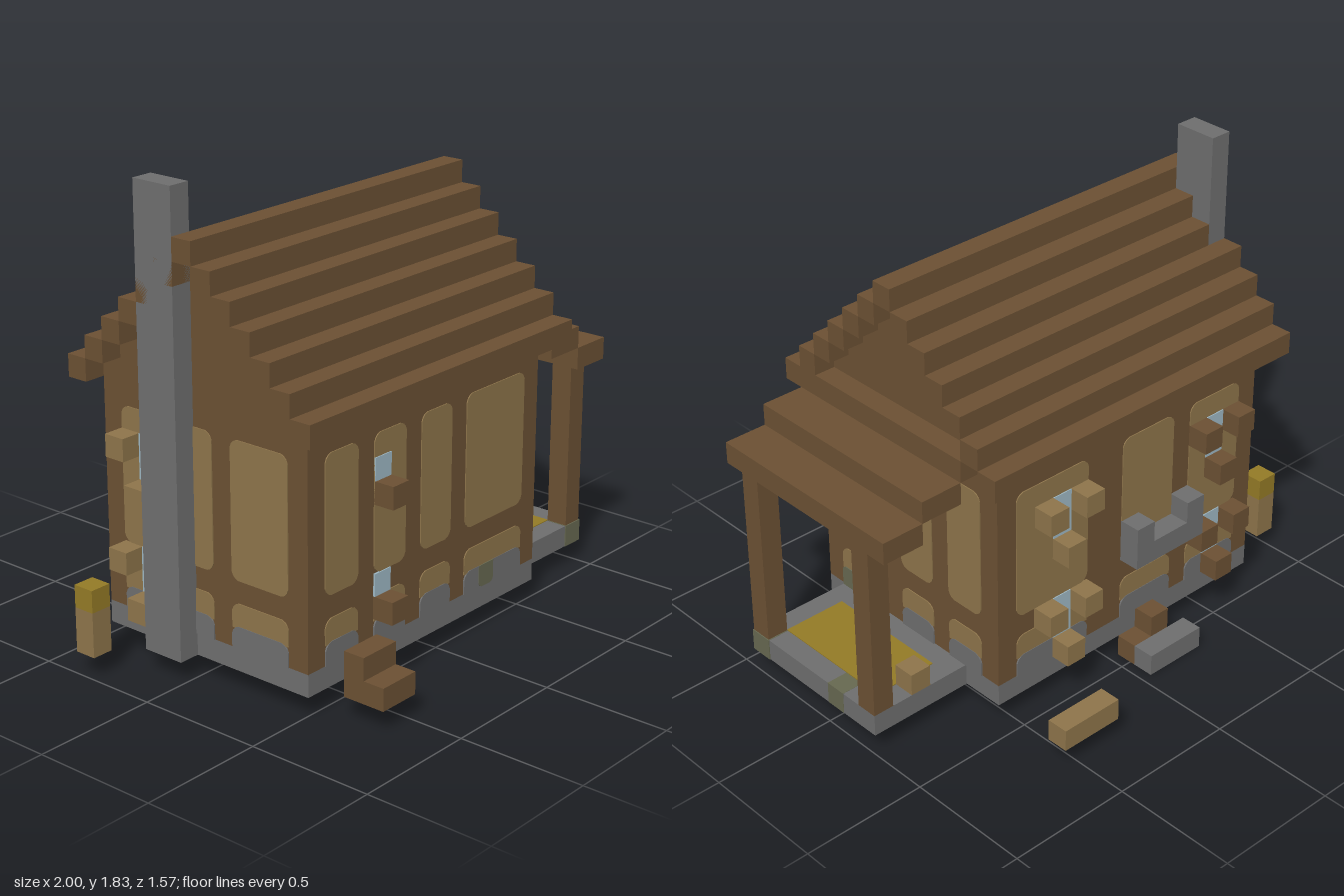
import * as THREE from 'three';

const U = 2 / 23; // one block

export function createModel() {
  const root = new THREE.Group();
  const mat = (name, color) => {
    const m = new THREE.MeshStandardMaterial({ color });
    m.name = name;
    return m;
  };
  const wood = mat('darkWood', 0x6b5033);
  const plank = mat('lightPlank', 0x8d744a);
  const stone = mat('stone', 0x6e6e6e);
  const straw = mat('straw', 0x937a26);
  const glass = mat('glass', 0x9db7c3);
  const moss = mat('mossyStone', 0x666850);

  // Block coordinates to model coordinates
  const X = (i) => -1 + i * U, Y = (j) => j * U, Z = (k) => (k - 9) * U;

  // Box from block corner (i, j, k) with a size in blocks
  function block(name, m, i, j, k, w = 1, h = 1, d = 1) {
    const mesh = new THREE.Mesh(new THREE.BoxGeometry(w * U, h * U, d * U), m);
    mesh.position.set(X(i + w / 2), Y(j + h / 2), Z(k + d / 2));
    mesh.name = name;
    root.add(mesh);
    return mesh;
  }

  // Thin wall plate with clipped corners; a is the run along the wall
  function plate(name, m, side, a, j, w, h, top = 0.35, bottom = 0.35, t = 0.004) {
    const W = w * U, H = h * U, c = top * U, b = bottom * U;
    const s = new THREE.Shape();
    s.moveTo(b, 0);
    s.lineTo(W - b, 0);
    s.quadraticCurveTo(W - b * 0.2, b * 0.2, W, b);
    s.lineTo(W, H - c);
    s.quadraticCurveTo(W - c * 0.2, H - c * 0.2, W - c, H);
    s.lineTo(c, H);
    s.quadraticCurveTo(c * 0.2, H - c * 0.2, 0, H - c);
    s.lineTo(0, b);
    s.quadraticCurveTo(b * 0.2, b * 0.2, b, 0);
    const g = new THREE.ExtrudeGeometry(s, { depth: t, bevelEnabled: false, curveSegments: 3 });
    const mesh = new THREE.Mesh(g, m);
    mesh.name = name;
    if (side === 'front') mesh.position.set(X(a), Y(j), Z(15));
    if (side === 'back') {
      mesh.rotation.y = Math.PI;
      mesh.position.set(X(a + w), Y(j), Z(4));
    }
    if (side === 'right') {
      mesh.rotation.y = Math.PI / 2;
      mesh.position.set(X(18), Y(j), Z(a + w));
    }
    if (side === 'left') {
      mesh.rotation.y = -Math.PI / 2;
      mesh.position.set(X(3), Y(j), Z(a));
    }
    root.add(mesh);
  }

  // Foundation, walls and the floor seen from below
  block('foundation', stone, 3, 1, 4, 15, 1, 11);
  block('walls', wood, 3, 2, 4, 15, 10, 11);
  block('floorUnderside', plank, 4, 0.96, 5, 13, 0.05, 9);

  // Wall infill: upper panel, lower panel and stone footing in each bay
  const bays = {
    front: [[4, 2], [7, 2], [10, 2], [13, 4]],
    back: [[4, 3], [8, 3], [13, 4]],
    right: [[5, 2], [8, 2], [11, 3]],
    left: [[5, 2], [8, 2], [11, 3]],
  };
  for (const side in bays) {
    for (const [a, w] of bays[side]) {
      plate('upperPanel', plank, side, a, 5, w, 6);
      plate('lowerPanel', plank, side, a, 2.9, w, 1.1, 0.35, 0);
      plate('stoneFooting', stone, side, a, 2, w, 1, 0.35, 0, 0.006);
    }
  }
  plate('mossPatch', moss, 'front', 14, 2, 1, 1, 0, 0.2, 0.008);
  plate('mossPatch', moss, 'right', 13, 2, 1, 1, 0.2, 0, 0.008);

  // Gable layers and stepped roof
  for (let n = 0; n < 7; n++) {
    if (n < 6) block('gable', wood, 3, 12 + n, 4 + n, 15, 1, 11 - 2 * n);
    block('roofRow', wood, 2, 12 + n, 3 + n, 17);
    if (n < 6) block('roofRow', wood, 2, 12 + n, 15 - n, 17);
  }
  block('chimney', stone, 2, 1, 7, 1, 20, 2);

  // Porch
  block('porchFloor', stone, 18, 1, 6, 5, 1, 8);
  block('porchStraw', straw, 19, 0.96, 7, 3, 1.08, 6);
  block('porchMoss', moss, 21.95, 1, 12.95, 1.1, 1.02, 1.1).scale.set(0.99, 0.99, 0.99);
  block('porchMoss', moss, 22.01, 1, 8, 1, 1.01, 1);
  for (const k of [6, 13]) block('porchPost', wood, 22, 2, k, 1, 8, 1);
  for (const [i, j] of [[17, 12], [19, 11], [21, 10]]) block('porchRoof', wood, i, j, 5, 2, 1, 10);
  block('stool', plank, 20, 2, 6);

  // Front windows and ledges
  for (const j of [3, 8]) {
    plate('windowPane', glass, 'front', 7, j + 1, 1, 1, 0, 0, 0.008);
    block('windowLedge', wood, 7, j, 15);
  }

  // Back windows with shutters and sills
  for (const [i, m] of [[14, plank], [5, wood]]) {
    for (const j of [2, 7]) {
      plate('windowPane', glass, 'back', i, j + 1, 1, 2, 0, 0, 0.008);
      block('windowSill', m, i, j, 3);
      for (const s of [-1, 1]) block('shutter', m, i + s, j + 2, 3);
    }
  }

  // Left windows beside the chimney
  for (const j of [2, 7]) {
    plate('windowPane', glass, 'left', 6, j + 1, 1, 2, 0, 0, 0.008);
    block('windowSill', plank, 2, j, 6);
    block('shutter', plank, 2, j + 2, 5);
  }

  // Stone trough on the back wall
  block('troughBase', stone, 7, 5, 3, 4);
  for (const i of [7, 10]) block('troughEnd', stone, i, 6, 3);

  // Back step
  block('backStep', stone, 8, 0, 2, 3);
  block('backStepBlock', wood, 9, 1, 3);
  block('backStepBlock', wood, 10, 0, 3);

  // Front steps
  block('lowerStep', wood, 4, 1, 16, 2, 1, 2);
  block('upperStep', wood, 4, 2, 16, 2);

  // Garden bench and torch post
  block('bench', plank, 15, 1, 0, 3);
  block('torchPost', plank, 0, 1, 5, 1, 2);
  block('torchTop', straw, 0, 3, 5);

  return root;
}
